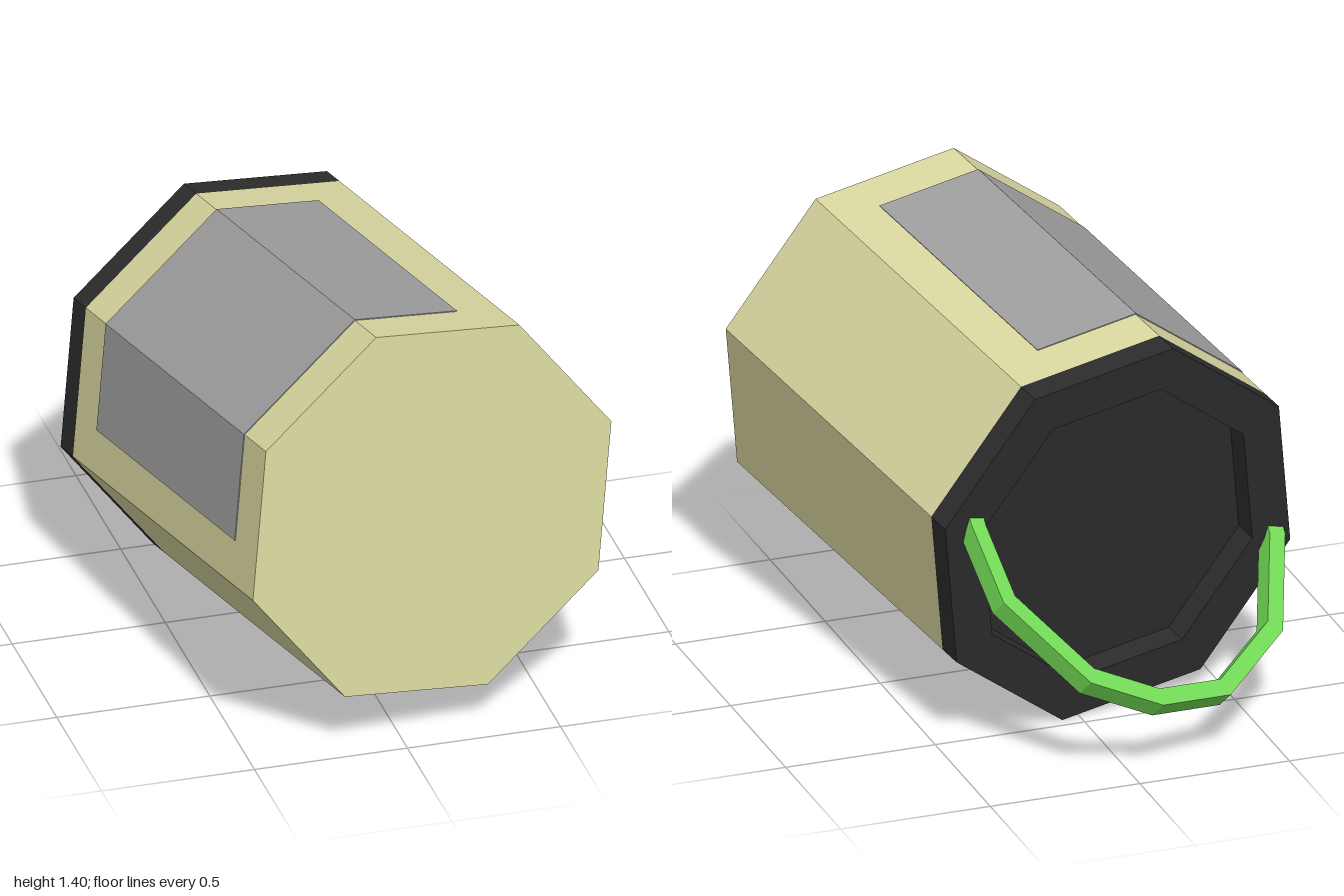
import * as THREE from 'three';

const R = 0.652; // corner radius of the octagonal barrel

// Corner k of the octagon, 45 degrees apart
const corner = (k, r = R) =>
  new THREE.Vector2(r * Math.cos(k * Math.PI / 4), r * Math.sin(k * Math.PI / 4));
const octagon = (r) => Array.from({ length: 8 }, (_, k) => corner(k, r));

const paint = (color) => new THREE.MeshStandardMaterial({ color, flatShading: true });

// Straight extrusion of a shape from z0 to z1
function prism(name, shape, z0, z1, material) {
  const geometry = new THREE.ExtrudeGeometry(shape, { depth: z1 - z0, bevelEnabled: false });
  geometry.translate(0, 0, z0);
  const mesh = new THREE.Mesh(geometry, material);
  mesh.name = name;
  return mesh;
}

export function createModel() {
  const tan = paint(0xd8d69f);
  const dark = paint(0x2c2c2c);
  const grey = paint(0x9e9e9e);
  const green = paint(0x72d956);

  // The container lies tilted: local z runs from its opening to its base
  const can = new THREE.Group();
  can.name = 'container';

  can.add(prism('body', new THREE.Shape(octagon(R)), 0.09, 1.405, tan));

  // Rim around a shallow recess
  const rimShape = new THREE.Shape(octagon(R));
  rimShape.holes.push(new THREE.Path(octagon(R * 0.78).reverse()));
  can.add(prism('rim', rimShape, 0, 0.09, dark));

  const lid = new THREE.Mesh(new THREE.CircleGeometry(R * 0.79, 8), dark);
  lid.name = 'recessedLid';
  lid.rotation.y = Math.PI;
  lid.position.z = 0.087;
  can.add(lid);

  // Label wrapped over one full side and part of both neighbours
  const strip = [
    corner(2).lerp(corner(1), 0.71), corner(2),
    corner(3), corner(3).lerp(corner(4), 0.71),
  ];
  const scaled = (points, s) => points.map((p) => p.clone().multiplyScalar(s));
  const labelShape = new THREE.Shape([...scaled(strip, 1.005), ...scaled(strip, 0.99).reverse()]);
  can.add(prism('label', labelShape, 0.24, 1.25, grey));

  // Carrying handle: a faceted arch hanging from two opposite rim corners
  const arch = [
    [0.574, -0.03], [0.574, 0], [0.531, 0.274], [0.281, 0.55], [0.028, 0.622],
    [-0.24, 0.578], [-0.504, 0.345], [-0.612, 0], [-0.612, -0.03],
  ].map(([x, y]) => new THREE.Vector2(x, y));
  const inner = arch.map((p) => (p.y > 0
    ? p.clone().multiplyScalar(0.905)
    : new THREE.Vector2(p.x * 0.905, p.y)));
  const handle = prism('handle', new THREE.Shape([...arch, ...inner.reverse()]), -0.035, 0.035, green);
  handle.rotation.x = -2.2;
  can.add(handle);

  // Tilt of the whole container
  const zAxis = new THREE.Vector3(0.161, 0.1, 0.982).normalize();
  const yAxis = new THREE.Vector3(-0.264, 0.962, -0.055);
  const xAxis = new THREE.Vector3().crossVectors(yAxis, zAxis).normalize();
  yAxis.crossVectors(zAxis, xAxis);
  can.quaternion.setFromRotationMatrix(new THREE.Matrix4().makeBasis(xAxis, yAxis, zAxis));
  can.position.set(-0.111, 0.632, -0.498);

  const model = new THREE.Group();
  model.name = 'model';
  model.add(can);
  return model;
}
